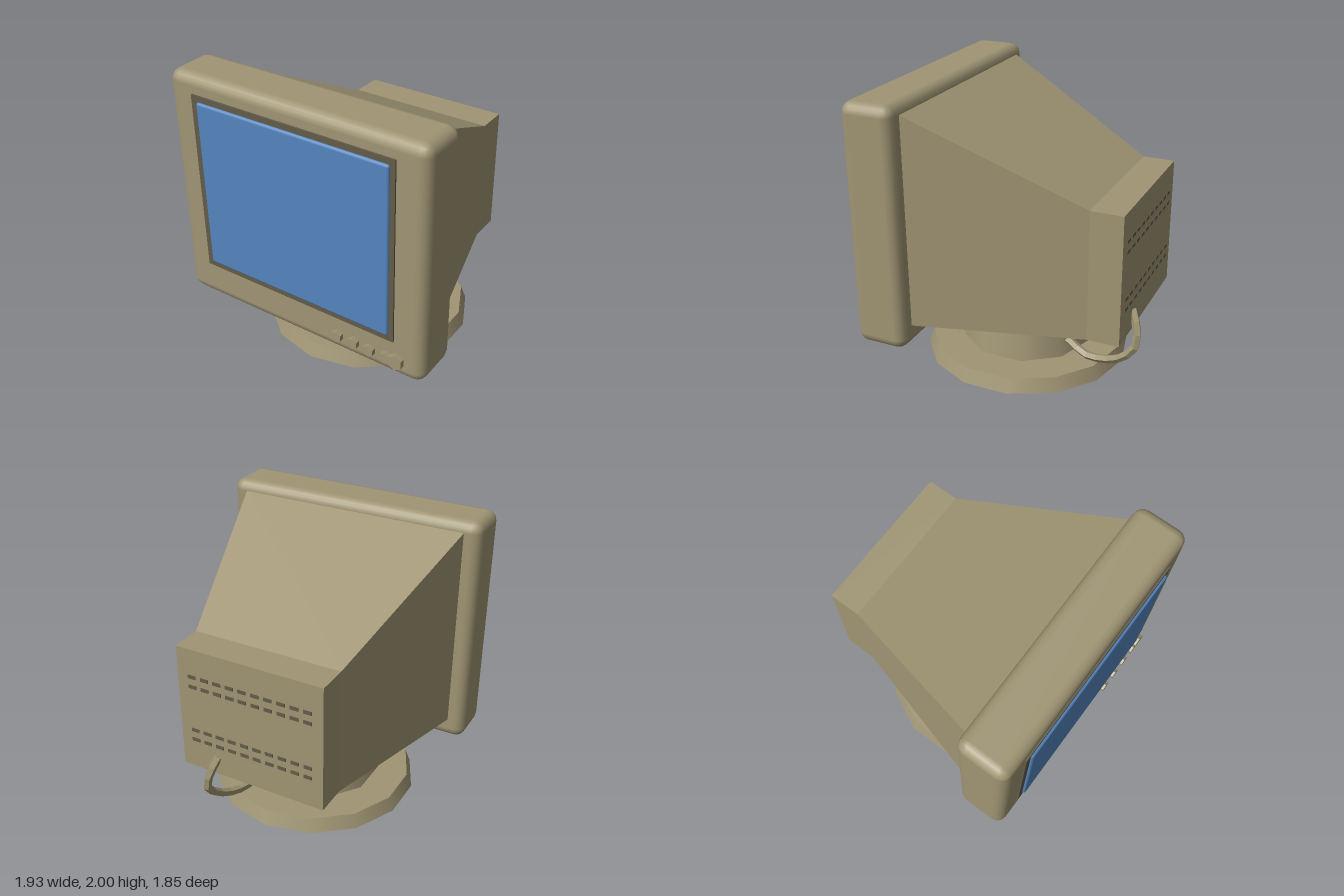
import * as THREE from 'three';
import { RoundedBoxGeometry } from 'three/addons/geometries/RoundedBoxGeometry.js';

const mat = (name, color, extra = {}) => {
  const m = new THREE.MeshStandardMaterial({ color, ...extra });
  m.name = name;
  return m;
};

// Closed, flat-faced hull from rectangular sections [z, halfWidth, bottom, top], front to back
function hull(sections) {
  const rings = sections.map(([z, w, b, t]) => [[-w, b, z], [w, b, z], [w, t, z], [-w, t, z]]);
  const pos = [];
  const quad = (a, b, c, d) => [a, b, c, a, c, d].forEach((p) => pos.push(...p));
  for (let k = 0; k < rings.length - 1; k++) {
    const f = rings[k], r = rings[k + 1];
    for (let i = 0; i < 4; i++) {
      const j = (i + 1) % 4;
      quad(f[i], r[i], r[j], f[j]);
    }
  }
  quad(...rings[0]);
  quad(...[...rings[rings.length - 1]].reverse());
  const g = new THREE.BufferGeometry();
  g.setAttribute('position', new THREE.Float32BufferAttribute(pos, 3));
  g.computeVertexNormals();
  return g;
}

export function createModel() {
  const model = new THREE.Group();
  model.name = 'monitor';

  const beige = mat('beige plastic', 0xa09574);
  const blue = mat('blue glass', 0x5585bf);
  const dark = mat('dark trim', 0x635c4a);

  const add = (name, geometry, material, x = 0, y = 0, z = 0, parent = model) => {
    const mesh = new THREE.Mesh(geometry, material);
    mesh.name = name;
    mesh.position.set(x, y, z);
    parent.add(mesh);
    return mesh;
  };

  // Front shell, dark surround and glass
  add('bezel', new RoundedBoxGeometry(1.93, 1.7, 0.372, 2, 0.075), beige, 0, 1.15, 0.708);
  add('screenSurround', new THREE.BoxGeometry(1.52, 1.3, 0.03), dark, -0.005, 1.225, 0.89);
  add('screen', new RoundedBoxGeometry(1.44, 1.22, 0.05, 2, 0.018), blue, 0, 1.225, 0.896);

  // Tapered tube housing
  add('housing', hull([
    [0.53, 0.85, 0.45, 1.93],
    [-0.62, 0.54, 0.45, 1.37],
    [-0.845, 0.54, 0.45, 1.37],
  ]), beige);

  // Hexagonal buttons, the last pair overlapping
  const buttons = new THREE.Group();
  buttons.name = 'buttons';
  model.add(buttons);
  [[0.33, 0.041], [0.455, 0.041], [0.58, 0.041], [0.705, 0.041], [0.78, 0.056]].forEach(([x, r], i) => {
    const g = new THREE.CylinderGeometry(r, r, 0.06, 6).toNonIndexed();
    g.computeVertexNormals();
    g.rotateX(Math.PI / 2);
    add(i === 4 ? 'powerButton' : 'button', g, beige, x, 0.435, 0.898, buttons);
  });

  // Rows of vent slots on the back
  const vents = new THREE.Group();
  vents.name = 'vents';
  model.add(vents);
  const slot = new THREE.BoxGeometry(0.06, 0.026, 0.008);
  for (const y of [1.165, 1.09, 0.75, 0.675])
    for (let i = 0; i < 10; i++)
      add('ventSlot', slot, dark, -0.43 + i * 0.0955, y, -0.845, vents);

  // Swivel stand
  add('neck', new THREE.CylinderGeometry(0.41, 0.477, 0.36, 10), beige, 0, 0.275, 0.042);
  add('base', new THREE.CylinderGeometry(0.7, 0.737, 0.1, 14), beige, 0, 0.05, 0.042);

  // Cable looping from the back into the neck
  const path = new THREE.CatmullRomCurve3([
    [0.26, 0.59, -0.84], [0.3, 0.48, -0.885], [0.33, 0.37, -0.9], [0.33, 0.29, -0.855],
    [0.31, 0.21, -0.76], [0.28, 0.16, -0.64], [0.25, 0.145, -0.51], [0.22, 0.22, -0.36],
  ].map((p) => new THREE.Vector3(...p)));
  add('cable', new THREE.TubeGeometry(path, 10, 0.03, 5), mat('beige cable', 0xa09574, {
    flatShading: true, side: THREE.DoubleSide,
  }));

  return model;
}
